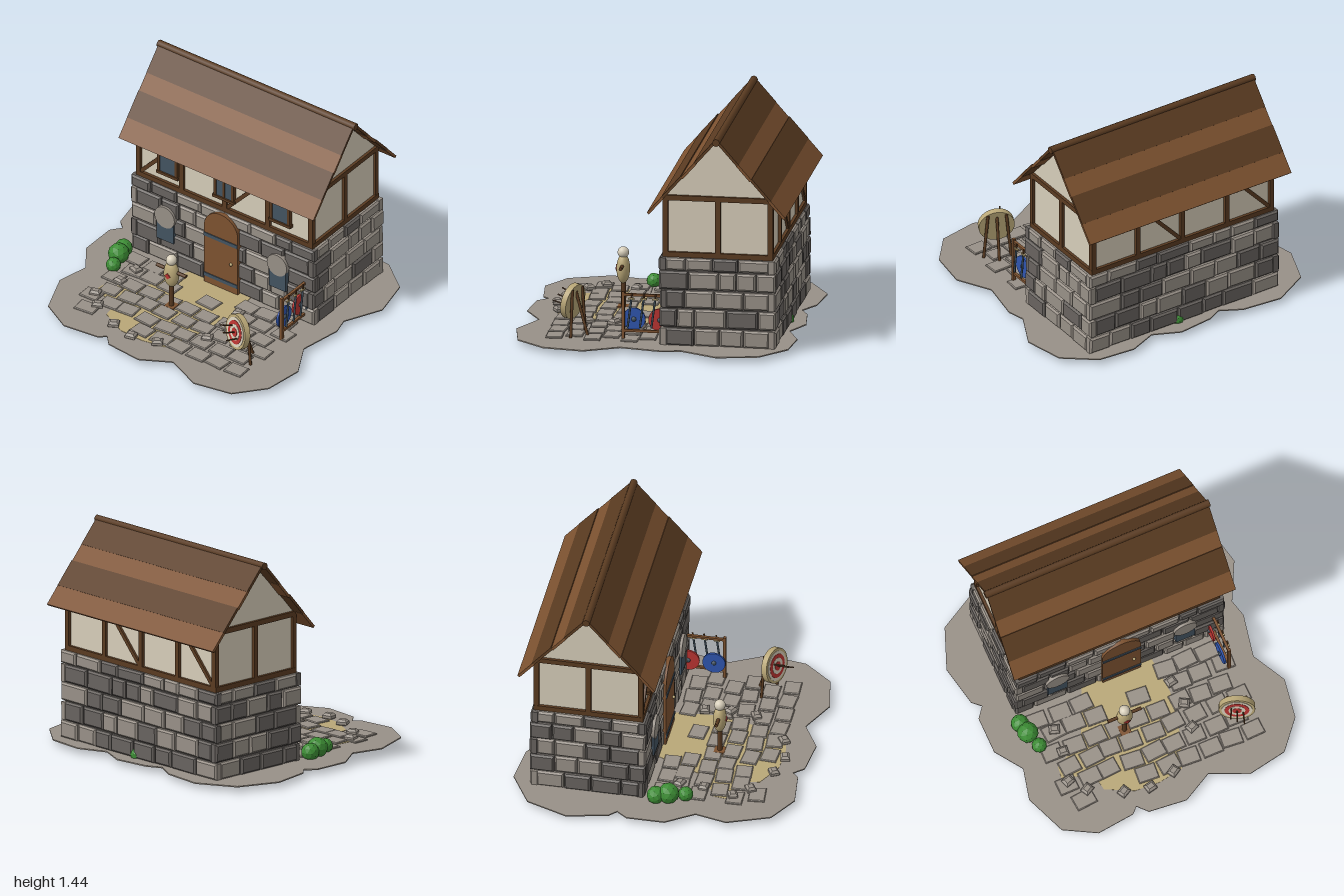
import * as THREE from 'three';
import { mergeGeometries } from 'three/addons/utils/BufferGeometryUtils.js';

const mat = (name, color) => {
  const m = new THREE.MeshStandardMaterial({ color, flatShading: false });
  m.name = name;
  return m;
};

export function createModel() {
  const wood = mat('wood', 0x7d5230), darkWood = mat('darkWood', 0x5a3b21);
  const plaster = mat('plaster', 0xd6cdb9), stone = mat('stone', 0x989087);
  const darkStone = mat('darkStone', 0x68635f), iron = mat('glassAndIron', 0x435361);
  const straw = mat('straw', 0xb9a777), green = mat('leaf', 0x3c8c34);
  const red = mat('red', 0xb93431), blue = mat('blue', 0x2f55ae);

  const model = new THREE.Group();
  model.name = 'trainingHouse';
  let seed = 7;
  const rnd = () => (seed = (seed * 16807) % 2147483647) / 2147483647;
  const jit = (a) => (rnd() - 0.5) * 2 * a;

  const add = (name, geo, m, x = 0, y = 0, z = 0, parent = model) => {
    const mesh = new THREE.Mesh(geo, m);
    mesh.name = name;
    mesh.position.set(x, y, z);
    parent.add(mesh);
    return mesh;
  };
  const box = (name, m, w, h, d, x, y, z, parent) => add(name, new THREE.BoxGeometry(w, h, d), m, x, y, z, parent);
  const group = (name, x = 0, y = 0, z = 0) => {
    const g = new THREE.Group();
    g.name = name;
    g.position.set(x, y, z);
    model.add(g);
    return g;
  };
  // Round stick between two points
  const stick = (name, m, a, b, r, parent) => {
    const p = new THREE.Vector3(...a), q = new THREE.Vector3(...b), dir = q.clone().sub(p);
    const mesh = add(name, new THREE.CylinderGeometry(r, r, dir.length(), 8), m, 0, 0, 0, parent);
    mesh.position.copy(p).add(q).multiplyScalar(0.5);
    mesh.quaternion.setFromUnitVectors(new THREE.Vector3(0, 1, 0), dir.normalize());
    return mesh;
  };
  // Disc or drum facing +z
  const disc = (name, m, r, d, x, y, z, parent) =>
    add(name, new THREE.CylinderGeometry(r, r, d, 28).rotateX(Math.PI / 2), m, x, y, z, parent);
  // Block with chamfered edges, centred
  const block = (w, h, d, b = 0.01) => {
    const x = w / 2 - b, y = h / 2 - b;
    const s = new THREE.Shape([[-x, -y], [x, -y], [x, y], [-x, y]].map((p) => new THREE.Vector2(...p)));
    return new THREE.ExtrudeGeometry(s, { depth: d - 2 * b, bevelThickness: b, bevelSize: b, bevelSegments: 1 })
      .translate(0, 0, b - d / 2);
  };
  // Thin flat patch from [x, z] points
  const patch = (name, m, pts, y, h) => add(name, new THREE.ExtrudeGeometry(
    new THREE.Shape(pts.map(([x, z]) => new THREE.Vector2(x, -z))),
    { depth: h, bevelEnabled: false }).rotateX(-Math.PI / 2), m, 0, y, 0);

  // Ground, sand and paving
  patch('ground', stone, [[-0.645, -0.93], [-0.37, -0.905], [-0.23, -0.83], [-0.13, -0.88], [0.11, -0.91],
    [0.29, -0.83], [0.48, -0.91], [0.735, -0.89], [0.94, -0.73], [1, -0.46], [0.875, -0.21], [0.905, -0.095],
    [0.85, 0.19], [0.97, 0.415], [0.93, 0.68], [0.77, 0.87], [0.505, 0.92], [0.26, 0.81], [0.06, 0.92],
    [-0.195, 0.895], [-0.255, 0.83], [-0.295, 0.87], [-0.55, 0.9], [-0.76, 0.785], [-0.87, 0.51], [-0.82, 0.3],
    [-0.945, 0.12], [-0.945, -0.13], [-0.89, -0.2], [-0.945, -0.25], [-1, -0.52], [-0.895, -0.79]], 0.032, 0.008);
  patch('sand', straw, [[-0.25, -0.06], [0.24, -0.06], [0.26, 0.2], [0.2, 0.5], [0.12, 0.71], [-0.05, 0.74],
    [-0.22, 0.73], [-0.4, 0.64], [-0.42, 0.52], [-0.62, 0.46], [-0.61, 0.38], [-0.4, 0.27]], 0.04, 0.002);
  const pavers = [];
  [0.04, 0.15, 0.28, 0.4, 0.525, 0.65].forEach((z, row) => {
    for (let i = 0; i < 9; i++) {
      const x = -0.6 + i * 0.148 + (row % 2) * 0.06 + jit(0.012);
      const bare = (row === 0 && Math.abs(x) < 0.25) || (row === 1 && x > 0.08 && x < 0.28)
        || (row === 1 && x > -0.22 && x < -0.08) || (row === 5 && x > -0.5 && x < -0.2);
      if (bare || x > 0.67) continue;
      pavers.push(block(0.135 + jit(0.008), 0.108, 0.016, 0.005).rotateX(-Math.PI / 2)
        .rotateY(jit(0.09)).translate(x, 0.044, z + jit(0.008)));
    }
  });
  add('pavingStones', mergeGeometries(pavers), stone);
  const rocks = [[-0.53, 0.14], [0.29, 0.14], [-0.54, 0.3], [0.31, 0.31], [-0.59, 0.5], [0.29, 0.48],
    [-0.5, 0.6], [-0.29, 0.71], [-0.12, 0.75], [0.06, 0.71]].map(([x, z]) =>
    block(0.07, 0.06, 0.045, 0.014).rotateX(-Math.PI / 2).rotateY(jit(0.6)).translate(x, 0.056, z));
  add('looseRocks', mergeGeometries(rocks), stone);

  // Bushes, some only peeping out at the foot of the walls
  [[-0.7, 0.09, 0.1, 0.07], [-0.665, 0.075, 0.205, 0.05], [-0.72, 0.08, 0.02, 0.06], [0.57, 0.05, -0.48, 0.05],
    [0.06, 0.055, -0.78, 0.045], [-0.6, 0.05, -0.31, 0.045]].forEach(([x, y, z, r], i) => {
    const leaf = new THREE.IcosahedronGeometry(r, 1);
    leaf.computeVertexNormals();
    add('bush', leaf, green, x, y, z).rotation.y = i;
  });

  // Stone ground floor: a core faced with coursed blocks
  const CX = 0.02, CZ = -0.43;
  box('stoneCore', darkStone, 1.42, 0.59, 0.71, CX, 0.325, CZ);
  const light = [], dark = [];
  const courses = [0.035, 0.155, 0.285, 0.41, 0.535, 0.625];
  for (let side = 0; side < 4; side++) {
    const long = side % 2 === 0, out = long ? 0.38 : 0.735;
    for (let c = 0; c < 5; c++) {
      const len = (long ? 1.47 : 0.765) - ((c + side) % 2 ? 0.08 : 0);
      const n = Math.round(len / 0.19) + (c % 2);
      const weights = Array.from({ length: n }, () => 0.7 + rnd() * 0.7);
      const total = weights.reduce((a, b) => a + b);
      const h = courses[c + 1] - courses[c];
      let x = -len / 2;
      for (const wt of weights) {
        const w = (wt / total) * len;
        const g = block(w - 0.006, h - 0.004 - rnd() * 0.01, 0.06, 0.012).rotateZ(jit(0.015))
          .translate(x + w / 2, courses[c] + h / 2, out - 0.03 + jit(0.006))
          .rotateY(side * Math.PI / 2).translate(CX, 0, CZ);
        (rnd() < 0.6 ? light : dark).push(g);
        x += w;
      }
    }
  }
  add('lightWallStones', mergeGeometries(light), stone);
  add('darkWallStones', mergeGeometries(dark), darkStone);

  // Arched door with straps and knob
  const arch = new THREE.Shape();
  arch.moveTo(-0.135, 0).lineTo(0.135, 0).lineTo(0.135, 0.445);
  arch.absarc(0, 0.445, 0.135, 0, Math.PI);
  add('door', new THREE.ExtrudeGeometry(arch, { depth: 0.05, bevelEnabled: false, curveSegments: 16 }), wood, CX, 0.04, -0.083);
  for (const y of [0.105, 0.42]) box('doorStrap', iron, 0.27, 0.026, 0.008, CX, y, -0.031);
  add('doorKnob', new THREE.SphereGeometry(0.011, 12, 8), straw, 0.105, 0.265, -0.027);

  // Ground floor windows under round stone heads
  for (const x of [-0.43, 0.47]) {
    box('lowerWindowGlass', iron, 0.135, 0.16, 0.03, x, 0.305, -0.05);
    disc('lowerWindowHead', stone, 0.08, 0.04, x, 0.41, -0.05);
  }

  // Plastered upper floor and gable
  box('upperWalls', plaster, 1.38, 0.41, 0.68, CX, 0.825, CZ);
  const tri = new THREE.Shape([[-0.35, 1.03], [0.35, 1.03], [0, 1.405]].map((p) => new THREE.Vector2(...p)));
  add('gable', new THREE.ExtrudeGeometry(tri, { depth: 1.38, bevelEnabled: false })
    .translate(0, 0, -0.69).rotateY(Math.PI / 2), plaster, CX, 0, CZ);

  // Timber frame, the same on front and back, and on both ends
  const T = 0.034;
  for (const s of [-1, 1]) {
    const z = CZ + s * 0.343;
    for (const y of [0.64, 1.018]) box('railBeam', darkWood, 1.415, T, T, CX, y, z);
    for (let i = 0; i < 5; i++) box('wallPost', darkWood, T, 0.4, T, CX - 0.69 + i * 0.345, 0.83, z);
    for (const x of [-0.4975, 0.1925])
      box('brace', darkWood, 0.46, 0.026, 0.024, x, 0.83, z).rotation.z = Math.atan2(0.34, 0.31);
    const ex = CX + s * 0.692;
    for (const y of [0.64, 1.018]) box('endBeam', darkWood, T, T, 0.715, ex, y, CZ);
    box('endPost', darkWood, T, 0.4, T, ex, 0.83, CZ);
  }

  // Upper windows
  for (const x of [-0.43, CX, 0.47]) {
    const g = group('upperWindow', x, 0.82, -0.075);
    box('glass', iron, 0.14, 0.18, 0.02, 0, 0, 0, g);
    for (const s of [-1, 1]) box('jamb', darkWood, 0.02, 0.2, 0.03, s * 0.07, 0, 0, g);
    box('header', darkWood, 0.16, 0.02, 0.03, 0, 0.095, 0, g);
    box('sill', darkWood, 0.175, 0.02, 0.04, 0, -0.092, 0, g);
    if (x === CX) box('mullion', darkWood, 0.016, 0.18, 0.026, 0, 0, 0, g);
  }

  // Roof boards in four overlapping rows per slope, and the ridge pole
  const pitch = 0.838, rows = [0, 0.205, 0.335, 0.52, 0.664];
  for (const s of [0, 1]) {
    const slope = group('roofSlope', CX, 1.425, CZ);
    slope.rotation.y = s * Math.PI;
    for (let i = 0; i < 4; i++) {
      const len = rows[i + 1] - rows[i] + 0.005, g = new THREE.BoxGeometry(1.56, 0.018, len);
      g.rotateX(0.012).translate(0, i % 2 ? -0.002 : 0.002, rows[i] + len / 2).rotateX(pitch);
      add('roofBoards', g, i % 2 ? wood : darkWood, 0, 0, 0, slope);
    }
  }
  stick('ridgePole', darkWood, [CX - 0.79, 1.418, CZ], [CX + 0.79, 1.418, CZ], 0.025);

  // Straw practice dummy
  const dummy = group('practiceDummy', -0.115, 0, 0.32);
  box('base', wood, 0.07, 0.016, 0.07, 0, 0.045, 0, dummy);
  stick('post', darkWood, [0, 0.035, 0], [0, 0.24, 0], 0.016, dummy);
  add('body', new THREE.SphereGeometry(1, 20, 14).scale(0.055, 0.098, 0.044), straw, 0, 0.3, 0, dummy);
  add('head', new THREE.SphereGeometry(0.037, 20, 14), plaster, 0, 0.408, 0, dummy);
  stick('arms', darkWood, [-0.118, 0.325, 0], [0.118, 0.325, 0], 0.012, dummy);
  box('chestMark', red, 0.032, 0.032, 0.008, 0, 0.303, 0.043, dummy).rotation.z = Math.PI / 4;

  // Archery target on a leaning stand, with arrows
  const target = group('archeryTarget', 0.58, 0, 0.54);
  target.rotation.y = -0.4;
  const face = new THREE.Group();
  face.name = 'targetFace';
  face.position.y = 0.26;
  face.rotation.x = -0.17;
  target.add(face);
  disc('strawButt', straw, 0.118, 0.04, 0, 0, 0, face);
  [[0.1, plaster], [0.08, red], [0.054, plaster], [0.03, red]].forEach(([r, m], i) =>
    disc('ring', m, r, 0.004, 0, 0, 0.021 + i * 0.002, face));
  for (const [x, y] of [[0, 0], [-0.035, 0.03], [0.04, -0.025]])
    stick('arrow', darkWood, [x, y, 0.02], [x * 1.2, y * 1.2 + 0.01, 0.115], 0.005, face);
  for (const s of [-1, 1]) stick('frontLeg', darkWood, [s * 0.06, 0.35, -0.035], [s * 0.09, 0.038, -0.04], 0.01, target);
  stick('rearLeg', darkWood, [0, 0.33, -0.025], [0, 0.038, -0.115], 0.01, target);

  // Weapon rack with swords and two round shields
  const rack = group('weaponRack', 0.675, 0, 0);
  for (const z of [-0.09, 0.195]) box('rackPost', wood, 0.022, 0.33, 0.018, 0, 0.2, z, rack);
  for (const y of [0.105, 0.345]) box('rackRail', wood, 0.018, 0.016, 0.3, 0, y, 0.05, rack);
  [0.14, 0.06, -0.015, -0.08].forEach((z) => {
    stick('blade', iron, [0.015, 0.32, z], [0.015, 0.13, z + 0.025], 0.007, rack);
    box('guard', straw, 0.014, 0.01, 0.04, 0.015, 0.322, z, rack);
    stick('grip', darkWood, [0.015, 0.322, z], [0.015, 0.36, z - 0.005], 0.006, rack);
  });
  [[0.13, blue], [-0.04, red]].forEach(([z, m]) => {
    disc('shield', m, 0.075, 0.014, -0.03, 0.175, z, rack).rotation.y = Math.PI / 2;
    add('shieldBoss', new THREE.SphereGeometry(0.018, 12, 8), iron, -0.03, 0.175, z, rack);
  });
  return model;
}
